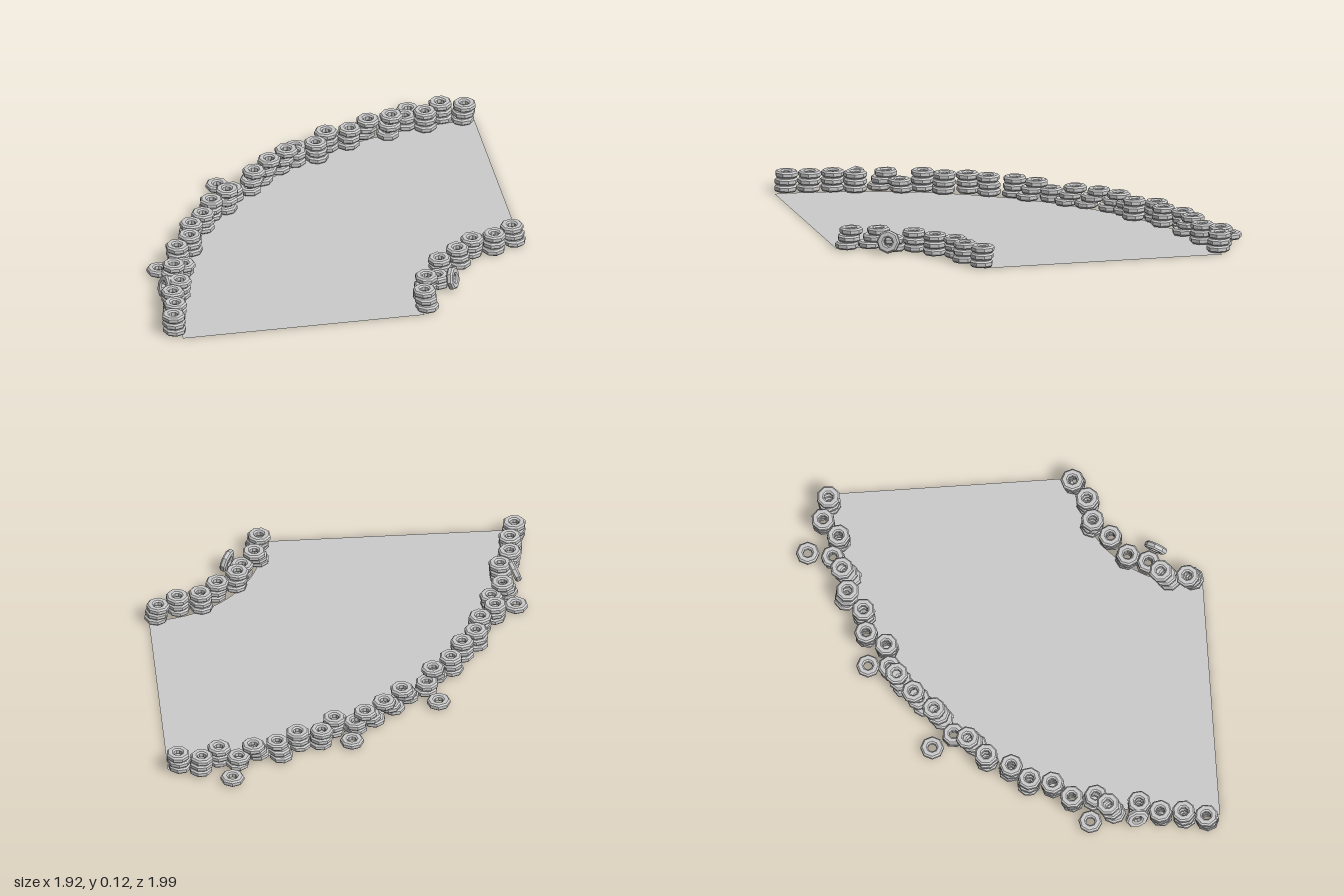
import * as THREE from 'three';

const R = 0.058;         // tyre radius
const H = 0.033;         // tyre thickness
const STEP = 0.035;      // height of one layer in a stack
const CORNER = [0.94, 0.985]; // centre of the bend

// Stacks: [x, z of top tyre, x, z of bottom tyre, number of layers]
const OUTER = [
  [-0.905, 0.915, -0.9, 0.92, 3], [-0.875, 0.805, -0.88, 0.81, 3],
  [-0.865, 0.69, -0.86, 0.695, 3], [-0.81, 0.59, -0.815, 0.59, 3],
  [-0.81, 0.435, -0.83, 0.465, 3], [-0.75, 0.38, -0.755, 0.37, 2],
  [-0.76, 0.26, -0.755, 0.265, 3], [-0.68, 0.17, -0.675, 0.175, 3],
  [-0.65, 0.06, -0.655, 0.055, 3], [-0.575, -0.025, -0.575, -0.03, 3],
  [-0.51, -0.145, -0.515, -0.14, 3], [-0.415, -0.23, -0.43, -0.19, 3],
  [-0.38, -0.295, -0.375, -0.295, 2], [-0.25, -0.385, -0.28, -0.345, 3],
  [-0.155, -0.48, -0.205, -0.43, 3], [-0.055, -0.555, -0.1, -0.52, 3],
  [-0.005, -0.585, -0.01, -0.575, 2], [0.1, -0.595, 0.105, -0.59, 3],
  [0.17, -0.69, 0.175, -0.685, 3], [0.29, -0.695, 0.28, -0.69, 3],
  [0.395, -0.765, 0.375, -0.775, 3], [0.515, -0.785, 0.49, -0.745, 3],
  [0.59, -0.825, 0.595, -0.82, 2], [0.685, -0.79, 0.685, -0.785, 3],
  [0.775, -0.86, 0.78, -0.855, 3], [0.89, -0.825, 0.88, -0.82, 3],
];
const INNER = [
  [0.355, 0.91, 0.365, 0.935, 3], [0.39, 0.78, 0.37, 0.82, 3],
  [0.455, 0.725, 0.46, 0.72, 2], [0.485, 0.625, 0.495, 0.62, 3],
  [0.59, 0.545, 0.6, 0.55, 3], [0.68, 0.465, 0.675, 0.46, 3],
  [0.795, 0.445, 0.79, 0.45, 3], [0.895, 0.38, 0.905, 0.39, 3],
];
// Tyres that dropped off the wall: [x, z]
const FALLEN = [[0.63, -0.945], [0.02, -0.69], [-0.43, -0.405], [-0.87, 0.345]];

// Eight-sided ring with chamfered shoulders
function tyreGeometry() {
  const h = H / 2;
  const profile = [
    [0.022, -h * 0.6], [0.03, -h], [0.05, -h], [R, -h * 0.5], [R, h * 0.5],
    [0.05, h], [0.03, h], [0.022, h * 0.6], [0.022, -h * 0.6],
  ].map(([x, y]) => new THREE.Vector2(x, y));
  return new THREE.LatheGeometry(profile, 8);
}

export function createModel() {
  const model = new THREE.Group();
  model.name = 'trackCorner';

  const rubber = new THREE.MeshStandardMaterial({ color: 0xcccccc, flatShading: true });
  const asphalt = new THREE.MeshStandardMaterial({ color: 0xcccccc, side: THREE.DoubleSide });
  const geometry = tyreGeometry();

  let seed = 7;
  const random = () => (seed = (seed * 16807) % 2147483647) / 2147483647;

  function addTyre(parent, name, x, y, z) {
    const tyre = new THREE.Mesh(geometry, rubber);
    tyre.name = name;
    tyre.position.set(x, y, z);
    tyre.rotation.y = random() * Math.PI / 4;
    parent.add(tyre);
    return tyre;
  }

  // Flat quarter-ring road surface
  const road = new THREE.Mesh(
    new THREE.RingGeometry(0.6, 1.81, 24, 1, Math.PI / 2, Math.PI / 2).rotateX(-Math.PI / 2), asphalt);
  road.name = 'road';
  road.position.set(CORNER[0], 0, CORNER[1]);
  model.add(road);

  // Stacked tyre walls along both edges of the road
  function addWall(name, stacks) {
    const wall = new THREE.Group();
    wall.name = name;
    for (const [x, z, bx, bz, layers] of stacks) {
      for (let i = 0; i < layers; i++) {
        const t = i / (layers - 1);
        addTyre(wall, 'stackedTyre', bx + (x - bx) * t, 0.021 + i * STEP, bz + (z - bz) * t);
      }
    }
    model.add(wall);
  }
  addWall('outerTyreWall', OUTER);
  addWall('innerTyreWall', INNER);

  // Loose tyres lying flat behind the outer wall
  for (const [x, z] of FALLEN) addTyre(model, 'fallenTyre', x, 0.021, z);

  // Tyres standing on edge, leaning on the walls
  function addLeaning(x, z, yaw, tilt) {
    const tyre = addTyre(model, 'leaningTyre', x, 0.062, z);
    tyre.rotation.set(0, yaw, Math.PI / 2 + tilt);
  }
  addLeaning(-0.88, 0.575, 0.2, -0.35);
  addLeaning(0.525, 0.765, -0.5, 0.2);

  return model;
}
